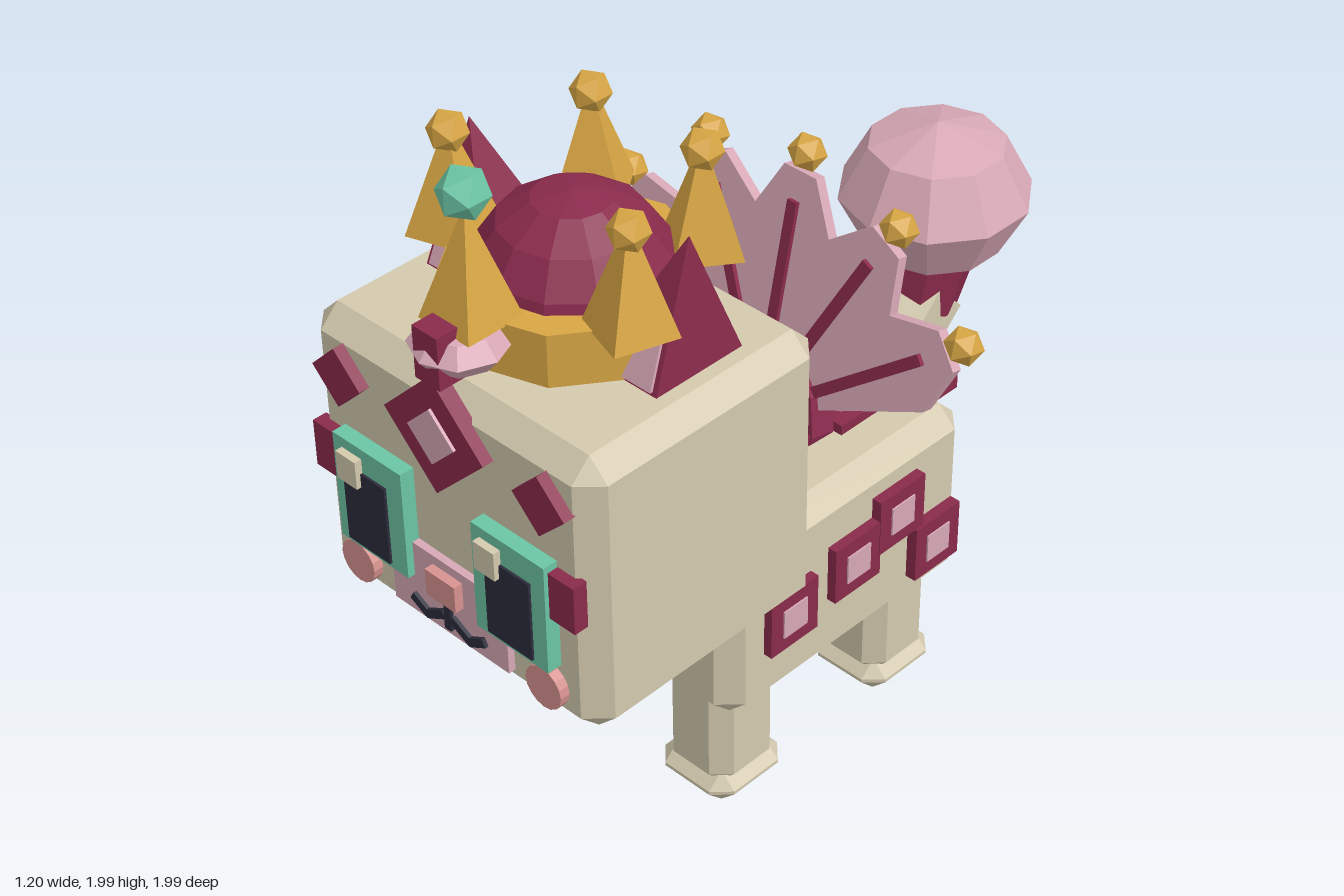
import * as THREE from 'three';
import { ConvexGeometry } from 'three/addons/geometries/ConvexGeometry.js';

const colour = (name, hex) => {
  const m = new THREE.MeshStandardMaterial({ color: hex });
  m.name = name;
  return m;
};

export function createModel() {
  const cream = colour('cream', 0xd3c9ae), burgundy = colour('burgundy', 0x8a2b4c);
  const pink = colour('pink', 0xd7a8b5), gold = colour('gold', 0xd8a644);
  const teal = colour('teal', 0x6cc5a5), dark = colour('dark', 0x2c2c3b);
  const salmon = colour('salmon', 0xd6928f);
  const root = new THREE.Group();
  root.name = 'crownedPet';

  // Adds a faceted mesh
  const add = (name, geo, mat, x = 0, y = 0, z = 0, parent = root) => {
    const g = geo.index ? geo.toNonIndexed() : geo;
    g.computeVertexNormals();
    const m = new THREE.Mesh(g, mat);
    m.name = name;
    m.position.set(x, y, z);
    parent.add(m);
    return m;
  };
  const box = (w, h, d) => new THREE.BoxGeometry(w, h, d);
  const chamferBox = (w, h, d, c) => {
    const pts = [];
    for (const i of [-1, 1]) for (const j of [-1, 1]) for (const k of [-1, 1])
      for (let f = 0; f < 3; f++) pts.push(new THREE.Vector3(
        i * (w / 2 - (f === 0 ? 0 : c)), j * (h / 2 - (f === 1 ? 0 : c)), k * (d / 2 - (f === 2 ? 0 : c))));
    return new ConvexGeometry(pts);
  };
  const bead = (r) => new THREE.IcosahedronGeometry(r, 0);

  // Head, body and legs
  add('head', chamferBox(0.93, 0.78, 0.74, 0.055), cream, 0, 1.09, 0.56);
  add('body', chamferBox(0.73, 0.535, 0.87, 0.055), cream, 0, 0.588, -0.035);
  add('chestPatch', box(0.33, 0.36, 0.09), pink, 0, 0.56, 0.4);
  for (const s of [-1, 1]) for (const z of [0.267, -0.308]) {
    add('leg', chamferBox(0.215, 0.4, 0.22, 0.045), cream, s * 0.207, 0.25, z);
    add('foot', chamferBox(0.245, 0.1, 0.25, 0.045), cream, s * 0.207, 0.05, z);
  }

  // Face
  const face = new THREE.Group();
  face.name = 'face';
  face.position.z = 0.93;
  root.add(face);
  const plate = (name, mat, x, y, w, h, front, turn = 0) => {
    const m = add(name, box(w, h, front + 0.01), mat, x, y, (front - 0.01) / 2, face);
    m.rotation.z = turn;
    return m;
  };
  plate('muzzle', pink, 0, 0.875, 0.39, 0.21, 0.02);
  plate('nose', salmon, 0, 0.917, 0.1, 0.075, 0.045);
  plate('mouthLine', dark, 0, 0.835, 0.022, 0.09, 0.03);
  for (const s of [-1, 1]) {
    plate('mouthInner', dark, s * 0.045, 0.81, 0.075, 0.024, 0.03, -s * 0.5);
    plate('mouthOuter', dark, s * 0.097, 0.808, 0.06, 0.024, 0.03, s * 0.5);
    plate('eyeFrame', teal, s * 0.235, 1.035, 0.235, 0.305, 0.04);
    plate('pupil', dark, s * 0.24 - 0.005, 1.008, 0.145, 0.222, 0.047);
    plate('eyeGlint', cream, s * 0.233 - 0.055, 1.12, 0.068, 0.078, 0.06);
    plate('templePatch', burgundy, s * 0.395, 1.106, 0.08, 0.13, 0.03);
    plate('browDiamond', burgundy, s * 0.333, 1.345, 0.116, 0.116, 0.03, Math.PI / 4);
    const cheek = new THREE.CylinderGeometry(0.058, 0.058, 0.035, 16).rotateX(Math.PI / 2);
    add('cheek', cheek, salmon, s * 0.318, 0.81, 0.01, face);
  }
  plate('foreheadDiamond', burgundy, 0, 1.36, 0.23, 0.23, 0.032, Math.PI / 4);
  plate('foreheadDiamondCentre', pink, 0, 1.36, 0.108, 0.108, 0.04, Math.PI / 4);

  // Ears: leaning pyramids with a pink inner face
  for (const s of [-1, 1]) {
    const corners = [[0.16, 0.36], [0.375, 0.36], [0.375, 0.645], [0.16, 0.645]];
    const pts = corners.map(([x, z]) => new THREE.Vector3(s * x, 1.46, z));
    pts.push(new THREE.Vector3(s * 0.348, 1.83, 0.505));
    add('ear', new ConvexGeometry(pts), burgundy);
    const inner = [[0.27, 1.49, 0.643], [0.36, 1.49, 0.643], [0.352, 1.61, 0.597], [0.3, 1.61, 0.597]];
    const innerPts = inner.flatMap(([x, y, z]) =>
      [new THREE.Vector3(s * x, y, z), new THREE.Vector3(s * x, y, z - 0.008)]);
    add('innerEar', new ConvexGeometry(innerPts), pink);
  }

  // Crown
  const crown = new THREE.Group();
  crown.name = 'crown';
  crown.position.z = 0.53;
  root.add(crown);
  add('crownBand', new THREE.CylinderGeometry(0.3, 0.3, 0.15, 10), gold, 0, 1.545, 0, crown);
  add('crownCap', new THREE.SphereGeometry(0.25, 12, 8), burgundy, 0, 1.55, -0.01, crown);
  for (let i = 0; i < 5; i++) {
    const a = i * Math.PI * 0.4, x = 0.3 * Math.sin(a), z = 0.3 * Math.cos(a);
    const spike = add('crownSpike', new THREE.ConeGeometry(0.115, 0.29, 4), gold, x, 1.76, z, crown);
    spike.rotation.y = a + Math.PI / 4;
    add('crownBead', bead(i ? 0.052 : 0.065), i ? gold : teal, x, i ? 1.873 : 1.937, z, crown);
  }
  add('gemMount', box(0.08, 0.14, 0.11), burgundy, 0, 1.573, 0.91);
  const gem = add('crownGem', new THREE.SphereGeometry(0.12, 8, 4), pink, 0, 1.57, 0.865);
  gem.scale.y = 0.5;

  // Tail
  const tail = add('tailBase', new THREE.CylinderGeometry(0.125, 0.125, 0.36, 6), cream, 0, 0.81, -0.563);
  tail.rotation.x = -Math.PI / 4;
  const cuff = add('tailCuff', new THREE.CylinderGeometry(0.145, 0.115, 0.2, 8), burgundy, 0, 0.99, -0.695);
  cuff.rotation.x = -0.25;
  const puff = add('tailPuff', new THREE.SphereGeometry(0.255, 10, 4).rotateY(Math.PI / 10 * 5), pink, 0, 1.2, -0.74);
  puff.scale.y = 0.8;

  // Fan standing on the back
  const fan = new THREE.Group();
  fan.name = 'backFan';
  fan.position.set(0, 0.85, -0.1);
  fan.rotation.x = -0.216;
  root.add(fan);
  const rad = Math.PI / 180, outline = [[0, 0]];
  for (let i = -2; i <= 2; i++)
    for (const [d, r] of [[-13, 0.54], [-4.5, 0.66], [4.5, 0.66], [13, 0.54]]) {
      const a = (i * 26 + d) * rad;
      outline.push([r * Math.sin(a), r * Math.cos(a)]);
    }
  const shape = new THREE.Shape(outline.map(([x, y]) => new THREE.Vector2(x, y)));
  add('fanSail', new THREE.ExtrudeGeometry(shape, { depth: 0.03, bevelEnabled: false }), pink, 0, 0, -0.015, fan);
  add('fanBase', new THREE.CylinderGeometry(0.2, 0.2, 0.08, 12).rotateX(Math.PI / 2), burgundy, 0, 0.02, 0, fan);
  for (let i = -2; i <= 2; i++) {
    const a = i * 26 * rad, sx = Math.sin(a), cy = Math.cos(a);
    const rib = add('fanRib', box(0.03, 0.48, 0.055), burgundy, sx * 0.34, cy * 0.34, 0, fan);
    rib.rotation.z = -a;
    add('fanBead', bead(0.05), gold, sx * 0.705, cy * 0.705, 0, fan);
  }

  // Square spots: burgundy plates with pink centres
  const spot = (x, y, z, axis, sign, i) => {
    const g = new THREE.Group();
    g.name = 'spot';
    g.position.set(x, y, z);
    if (axis === 'x') g.rotation.y = sign * Math.PI / 2;
    else g.rotation.x = -Math.PI / 2;
    root.add(g);
    const t = 0.04 + i * 0.002;
    add('spotFrame', box(0.165, 0.165, t), burgundy, 0, 0, t / 2 - 0.015, g);
    add('spotCentre', box(0.083, 0.083, 0.009), pink, 0, 0, t - 0.015, g);
  };
  [[0.197, 0.58], [-0.03, 0.615], [-0.19, 0.675], [-0.33, 0.505]]
    .forEach(([z, y], i) => spot(0.365, y, z, 'x', 1, i));
  [[-0.235, 0.53], [-0.03, 0.56], [0.125, 0.6]]
    .forEach(([z, y], i) => spot(-0.365, y, z, 'x', -1, i));
  [[-0.095, -0.365], [0.205, -0.43], [0.11, 0.0], [-0.17, 0.1], [0.14, -0.23], [-0.2, -0.1], [0.18, 0.235]]
    .forEach(([x, z], i) => spot(x, 0.855, z, 'y', 1, i * 0.5));

  return root;
}
